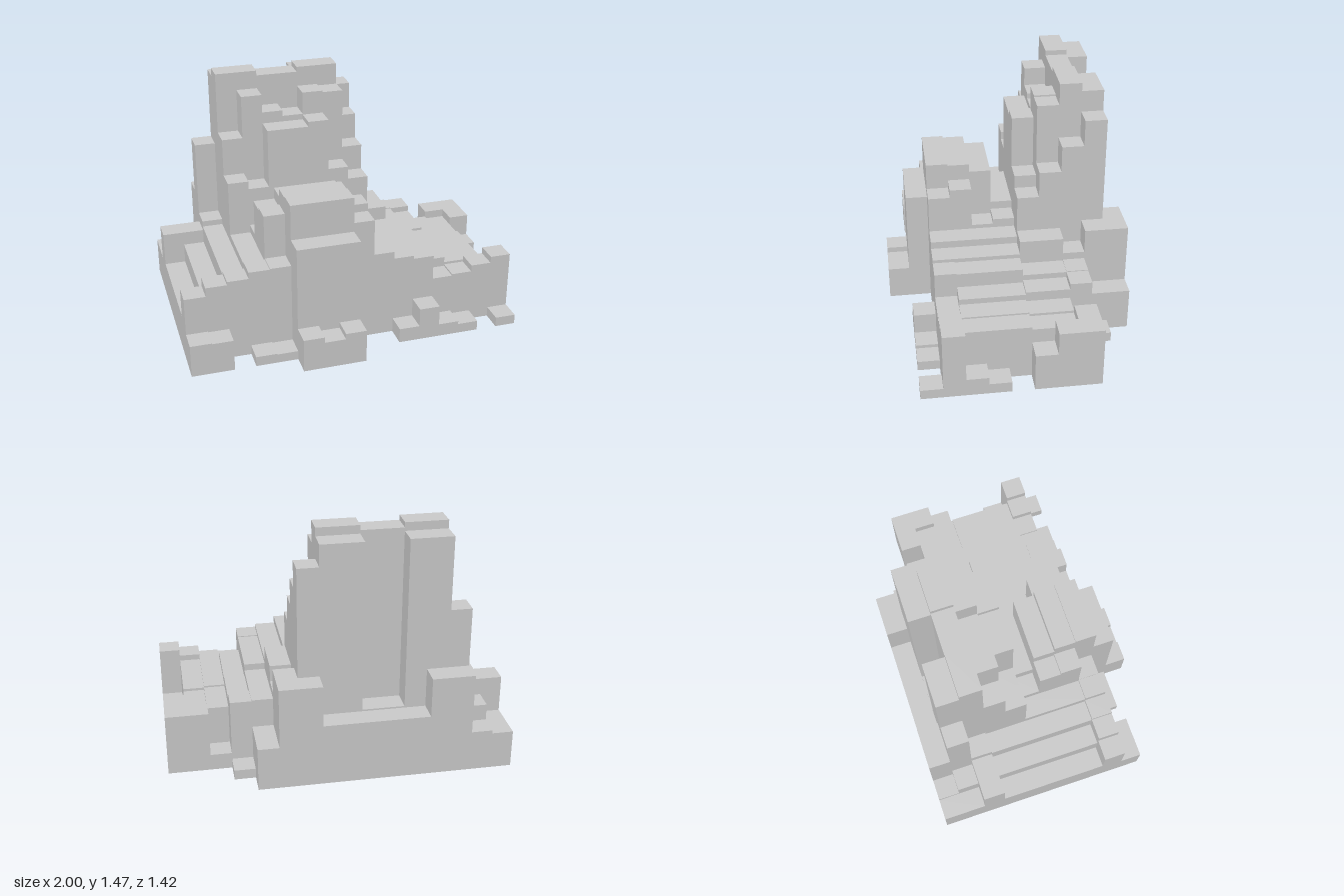
import * as THREE from 'three';

const CW = 2 / 16, CD = 1.422 / 11; // grid cell width and depth

export function createModel() {
  const model = new THREE.Group();
  const material = new THREE.MeshStandardMaterial({ color: 0xcccccc, flatShading: true });

  // Block covering w x d cells, from a column (right to left) and a row (back to front)
  const block = (name, col, row, w, d, h) => {
    const mesh = new THREE.Mesh(new THREE.BoxGeometry(w * CW, h, d * CD), material);
    mesh.name = name;
    mesh.position.set(-1 + (col + w / 2) * CW, h / 2, (row + d / 2 - 5.5) * CD);
    model.add(mesh);
  };
  // Steps side by side along x, each d rows deep; 0 leaves a gap
  const steps = (name, col, row, d, heights) =>
    heights.forEach((h, i) => h && block(name, col + i, row, 1, d, h));
  // Columns one behind the other along z
  const flight = (name, col, row, w, heights) =>
    heights.forEach((h, i) => block(name, col, row + i, w, 1, h));

  // Back wall with two piers and a low middle
  block('backWall', 4, 0, 5, 1, 0.38);
  block('backRecess', 5, 1, 2, 1, 0.39);
  block('rightPier', 2, 0, 2, 1, 0.62);
  block('leftPier', 9, 0, 2, 1, 0.63);
  block('leftPierReturn', 10, 1, 1, 1, 0.63);
  block('backCorner', 11, 0, 1, 2, 0.265);

  // Tower: two wings around a core, stepping down to the front and left
  for (const col of [3, 7]) flight('towerWing', col, 1, 2, [1.42, 1.47]);
  block('towerCore', 5, 2, 2, 1, 1.44);
  steps('towerUpperStep', 3, 3, 1, [1.1, 1.36, 1.25, 1.215, 1.35, 1.34]);
  steps('towerLowerStep', 3, 4, 1, [0.87, 0.82, 1.18, 1.18, 1.21, 0.89]);
  for (let i = 0; i < 4; i++) block('towerButtress', 9, 1 + i, 1, 1, 1.29 - 0.16 * i);
  block('rightButtress', 2, 1, 1, 1, 0.98);

  // Front ridge, its shoulders and the gate block
  flight('ridgeRightShoulder', 4, 5, 1, [0.58, 0.8, 0.82, 0.55]);
  flight('ridgeCrest', 5, 5, 3, [0.65, 0.87, 0.92, 0.93]);
  flight('ridgeLeftShoulder', 8, 5, 1, [0.6, 0.57, 0.82, 0.77]);
  block('ridgeLedge', 9, 5, 1, 4, 0.545);
  block('gate', 5, 9, 3, 1, 0.715);
  steps('gateFoot', 5, 10, 1, [0.205, 0.17, 0.205]);

  // Right terraces rising inward, with a turret and a front rim
  steps('rightBackTerrace', 0, 0, 2, [0.23, 0.25]);
  block('rightBackStep', 1, 1, 1, 1, 0.35);
  block('rightTurret', 0, 2, 2, 1, 0.455);
  block('rightInnerStep', 2, 2, 1, 1, 0.515);
  steps('rightTerrace', 0, 3, 5, [0.25, 0.37, 0.48]);
  block('rightTopTerrace', 3, 5, 1, 3, 0.53);
  steps('rightRim', 0, 8, 1, [0.43, 0.485, 0.505, 0.545]);
  steps('rightFrontStep', 0, 9, 1, [0.2, 0.195, 0, 0.06, 0.055]);

  // Left terraces falling outward
  block('leftBackStep', 12, 1, 1, 1, 0.06);
  steps('leftBackTerrace', 10, 2, 1, [0.485, 0.44, 0.435, 0.1, 0.375, 0.375]);
  steps('leftUpperTerrace', 10, 3, 2, [0.585, 0.435, 0.4, 0.34, 0.325]);
  steps('leftLowerTerrace', 10, 5, 3, [0.5, 0.475, 0.385, 0.35, 0.34]);
  flight('leftOuterWall', 15, 3, 1, [0.375, 0.235]);
  flight('leftOuterStep', 15, 6, 1, [0.065, 0.11]);
  steps('leftRim', 10, 8, 1, [0.5, 0.48, 0.325, 0.335, 0.375, 0.415]);
  steps('leftFrontStep', 10, 9, 1, [0.09, 0.205, 0.08, 0.06, 0, 0.06]);

  return model;
}
